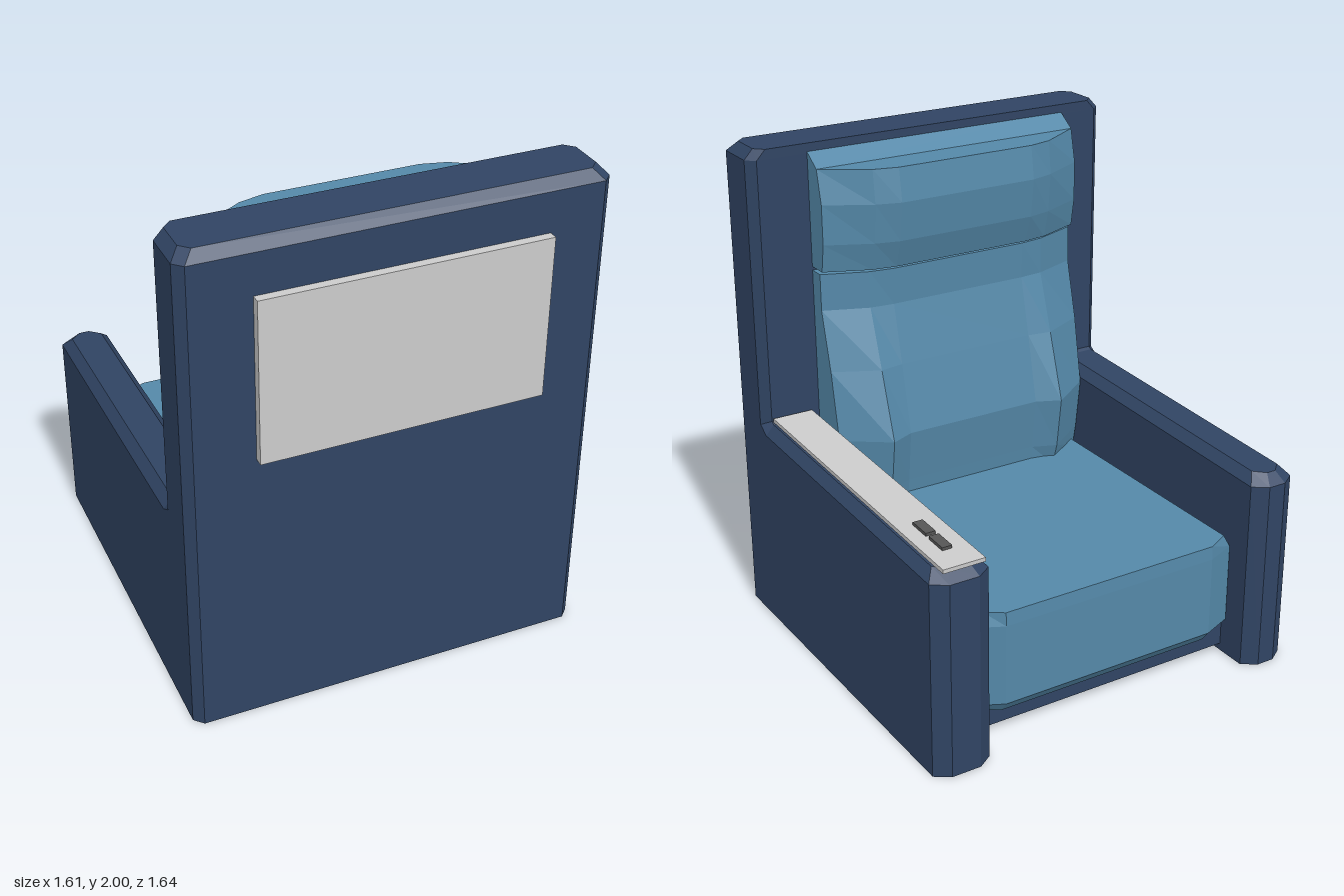
import * as THREE from 'three';

const material = (color) => new THREE.MeshStandardMaterial({ color, flatShading: true });

// Closed solid through horizontal rings, each ring a list of [x, y, z] running
// back-left, front-left, front-right, back-right.
function loft(name, rings, mat) {
  const n = rings[0].length;
  const positions = rings.flat(2);
  const index = [];
  for (let r = 0; r < rings.length - 1; r++) {
    for (let i = 0; i < n; i++) {
      const j = (i + 1) % n;
      const a = r * n + i, b = r * n + j, c = a + n, d = b + n;
      index.push(a, d, b, a, c, d);
    }
  }
  // caps made of strips running from side to side
  const top = (rings.length - 1) * n;
  for (let i = 0; i < n / 2 - 1; i++) {
    const q = [i, n - 1 - i, n - 2 - i, i + 1];
    index.push(top + q[0], top + q[1], top + q[2], top + q[0], top + q[2], top + q[3]);
    index.push(q[0], q[2], q[1], q[0], q[3], q[2]);
  }
  const indexed = new THREE.BufferGeometry();
  indexed.setAttribute('position', new THREE.Float32BufferAttribute(positions, 3));
  indexed.setIndex(index);
  const geometry = indexed.toNonIndexed();
  geometry.computeVertexNormals();
  const mesh = new THREE.Mesh(geometry, mat);
  mesh.name = name;
  return mesh;
}

// Box given by its limits
function block(name, [x0, x1], [y0, y1], [z0, z1], mat) {
  const mesh = new THREE.Mesh(new THREE.BoxGeometry(x1 - x0, y1 - y0, z1 - z0), mat);
  mesh.position.set((x0 + x1) / 2, (y0 + y1) / 2, (z0 + z1) / 2);
  mesh.name = name;
  return mesh;
}

export function createModel() {
  const model = new THREE.Group();
  model.name = 'loungeSeat';
  const shell = material(0x304463);
  const fabric = material(0x5488a8);
  const grey = material(0xcccccc);
  const dark = material(0x555555);
  const inner = [-0.61, 0.565]; // inner faces of the arms

  // Back shell, chamfered on its upright and top edges
  const shellRing = (y, inset) => {
    const x = 0.805 - inset, zb = 0.785 - inset, zf = 0.545, c = 0.035;
    return [[-x + c, y, zb], [-x, y, zb - c], [-x, y, zf + c], [-x + c, y, zf],
      [x - c, y, zf], [x, y, zf + c], [x, y, zb - c], [x - c, y, zb]];
  };
  model.add(loft('backShell', [shellRing(0, 0), shellRing(1.96, 0), shellRing(2, 0.037)], shell));

  // Arms, sloping towards the front and kicking up where they meet the back shell
  const armTop = (z) => 0.8595 + 0.0385 * z + (z > 0.55 ? 0.035 : 0);
  const armRing = (x0, x1, inset, height) => {
    const a = x0 + inset, b = x1 - inset, f = -0.82 + inset * 1.2, c = 0.06 - inset * 0.5;
    return [[a, 0.59], [a, 0.53], [a, f + 0.04], [a + c, f],
      [b - c, f], [b, f + 0.04], [b, 0.53], [b, 0.59]].map(([x, z]) => [x, height(z), z]);
  };
  for (const [name, x0, x1] of [['rightArm', -0.805, inner[0]], ['leftArm', inner[1], 0.805]]) {
    model.add(loft(name, [
      armRing(x0, x1, 0, () => 0),
      armRing(x0, x1, 0, (z) => armTop(z) - 0.04),
      armRing(x0, x1, 0.035, armTop),
    ], shell));
  }

  // Structure under the seat
  model.add(block('rearBase', inner, [0, 0.5], [0.16, 0.56], shell));
  model.add(block('frontBase', inner, [0.03, 0.15], [-0.65, 0.17], shell));

  // Seat cushion
  const seatRing = (y, side, front) => {
    const a = inner[0] + side, b = inner[1] - side, f = -0.73 + front;
    return [[a, y, 0.5], [a, y, f + 0.05], [-0.48, y, f], [0.46, y, f], [b, y, f + 0.05], [b, y, 0.5]];
  };
  model.add(loft('seatCushion', [
    seatRing(0.11, 0.03, 0.04), seatRing(0.16, 0.004, 0), seatRing(0.49, 0.004, 0), seatRing(0.545, 0.035, 0.003),
  ], fabric));

  // Back cushions: rows of [y, side z, bolster z, centre z, rise at the rear]
  const backRing = ([y, side, bolster, centre, rise = 0]) => [
    [-0.605, y + rise, 0.55], [-0.605, y, side], [-0.42, y, bolster], [-0.32, y, centre],
    [0.28, y, centre], [0.38, y, bolster], [0.56, y, side], [0.56, y + rise, 0.55],
  ];
  model.add(loft('backCushion', [
    [0.5, 0.42, 0.3, 0.32], [0.6, 0.4, 0.27, 0.31], [0.82, 0.37, 0.24, 0.285],
    [1.1, 0.42, 0.33, 0.345], [1.34, 0.48, 0.41, 0.4], [1.49, 0.48, 0.41, 0.395],
  ].map(backRing), fabric));
  model.add(loft('headCushion', [
    [1.505, 0.46, 0.385, 0.37], [1.62, 0.44, 0.355, 0.33],
    [1.78, 0.44, 0.34, 0.31], [1.915, 0.47, 0.355, 0.33, 0.055],
  ].map(backRing), fabric));

  // Flat screen on the rear of the shell
  model.add(block('rearScreen', [-0.54, 0.565], [1.15, 1.8], [0.78, 0.82], grey));

  // Control plate on the left arm with two buttons
  const controls = new THREE.Group();
  controls.name = 'armControls';
  controls.add(block('controlPlate', [0.6, 0.77], [-0.008, 0.008], [-0.675, 0.675], grey));
  for (const z of [-0.515, -0.4]) {
    controls.add(block('button', [0.668, 0.708], [0, 0.02], [z - 0.047, z + 0.047], dark));
  }
  controls.position.set(0, 0.873, -0.145);
  controls.rotation.x = -Math.atan(0.0385);
  model.add(controls);

  return model;
}
